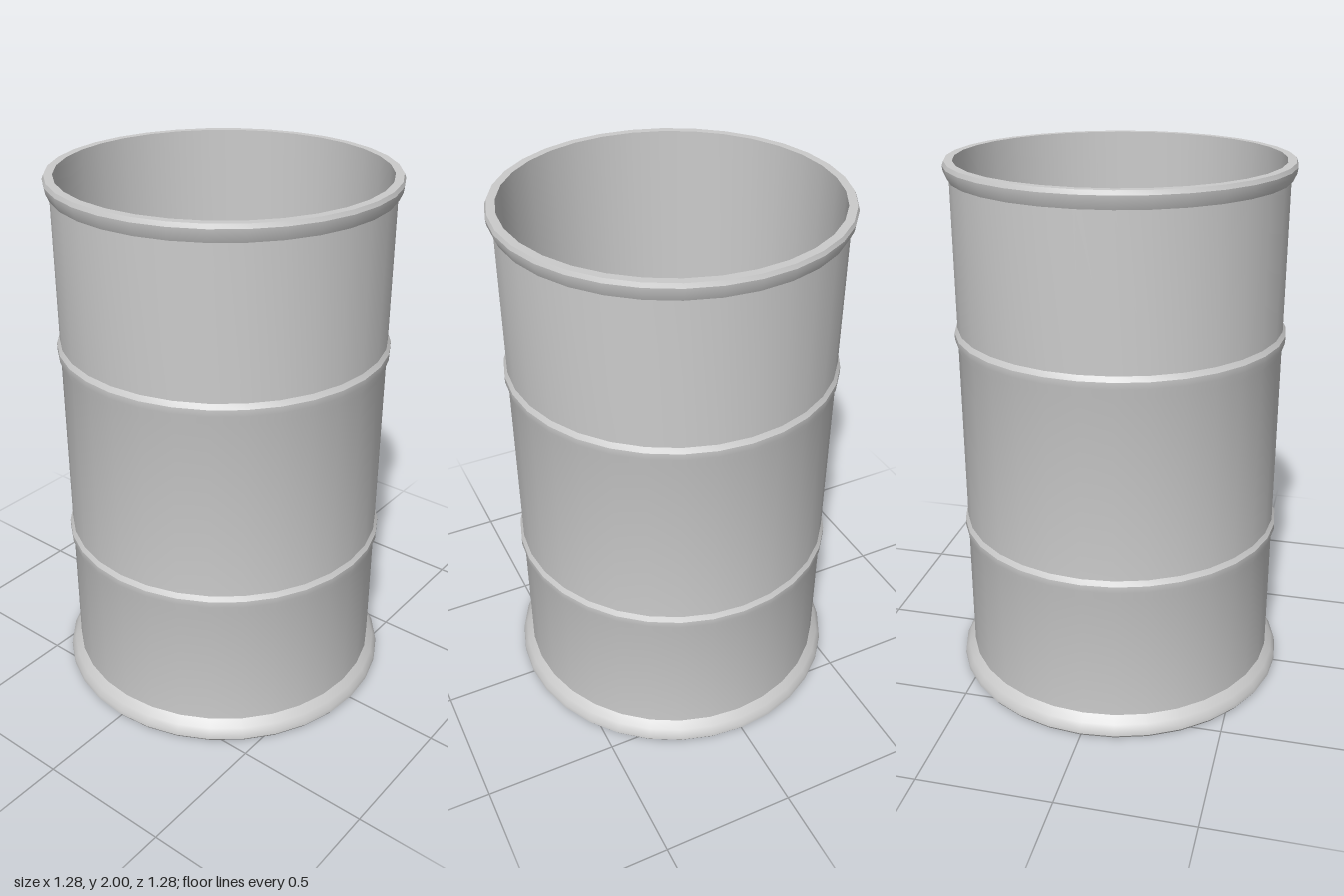
import * as THREE from 'three';
import { toCreasedNormals } from 'three/addons/utils/BufferGeometryUtils.js';

const SIDES = 32;
const WALL = 0.6;
const INNER = 0.585;
const FLOOR = 0.03;

export function createModel() {
  const drum = new THREE.Group();
  drum.name = 'openDrum';
  const material = new THREE.MeshStandardMaterial({ color: 0xcccccc });

  // Revolve a [radius, height] profile; outer faces run upwards
  const addTurned = (name, profile) => {
    const points = profile.map(([r, y]) => new THREE.Vector2(r, y));
    const geometry = toCreasedNormals(new THREE.LatheGeometry(points, SIDES), Math.PI / 6);
    const mesh = new THREE.Mesh(geometry, material);
    mesh.name = name;
    drum.add(mesh);
  };

  // Raised hoop pressed into the wall
  const hoop = (y) => [
    [WALL, y - 0.045], [WALL + 0.011, y - 0.012],
    [WALL + 0.011, y + 0.012], [WALL, y + 0.03],
  ];

  // Flared foot and closed underside
  addTurned('base', [
    [0, 0], [0.635, 0], [0.642, 0.01], [0.64, 0.025], [0.625, 0.047], [WALL, 0.073],
  ]);

  // Outer wall with two hoops
  addTurned('outerWall', [
    [WALL, 0.073], ...hoop(0.61), ...hoop(1.37), [WALL, 1.938],
  ]);

  // Rolled lip around the opening
  addTurned('rim', [
    [WALL, 1.938], [0.606, 1.938], [0.618, 1.965], [0.621, 1.985], [0.615, 2], [INNER, 2],
  ]);

  // Inner wall and floor
  addTurned('innerWall', [[INNER, 2], [INNER, FLOOR]]);
  addTurned('floor', [[INNER, FLOOR], [0, FLOOR]]);

  return drum;
}
